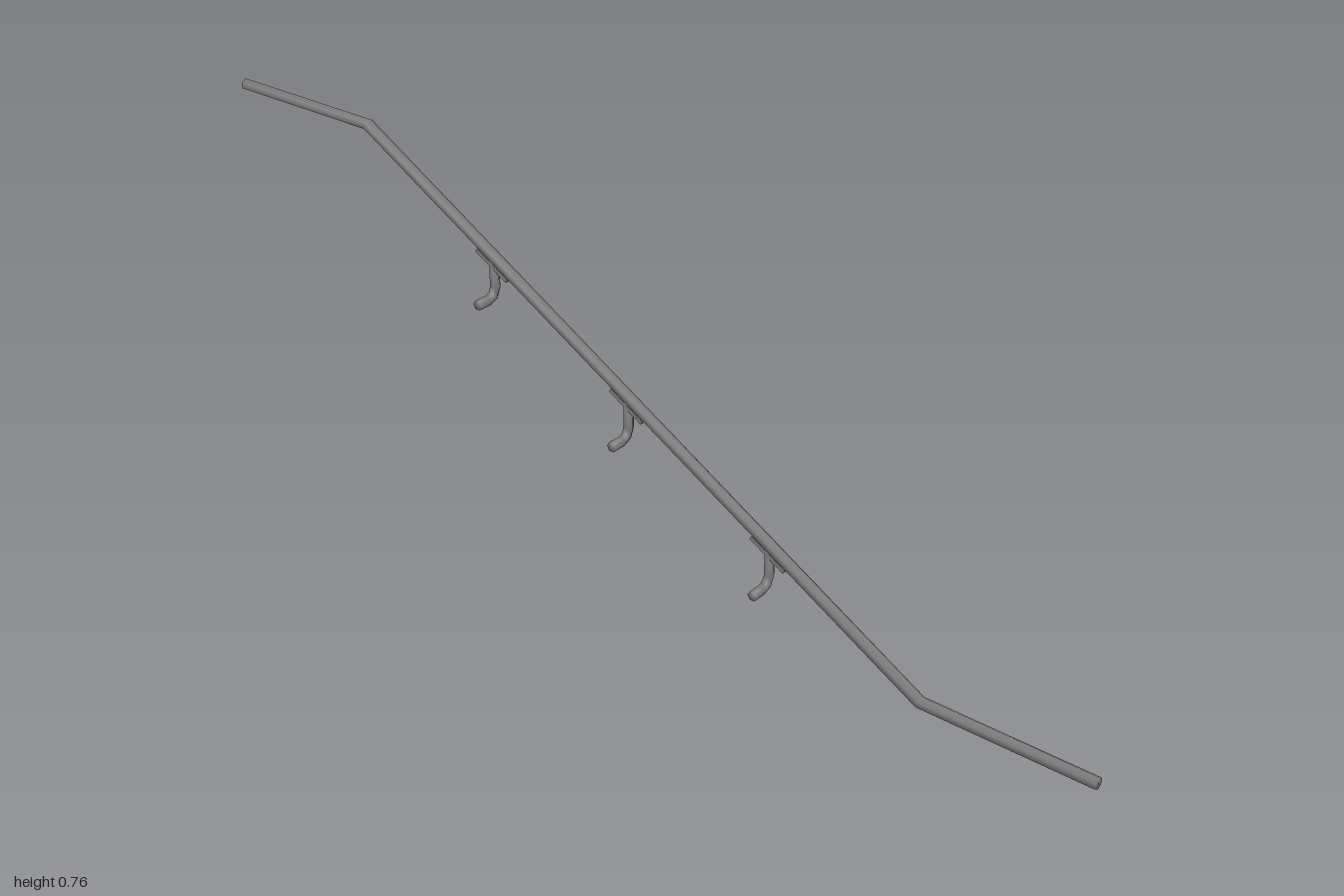
import * as THREE from 'three';

const material = new THREE.MeshStandardMaterial({ color: 0x7a7a7a });

// Sweep a smooth-shaded hexagon along a planar path with mitred joints.
// side is the plane's normal; turn rotates the hexagon about the path.
function hexBar(path, radius, side, turn) {
  const positions = [];
  const index = [];
  const last = path.length - 1;
  path.forEach((p, i) => {
    const before = p.clone().sub(path[Math.max(i - 1, 0)]).normalize();
    const after = path[Math.min(i + 1, last)].clone().sub(p).normalize();
    const tangent = before.clone().add(after).normalize();
    const stretch = 1 / Math.max(tangent.dot(before), tangent.dot(after));
    const normal = side.clone().cross(tangent);
    for (let k = 0; k < 6; k++) {
      const a = turn + (k * Math.PI) / 3;
      const v = p.clone()
        .addScaledVector(normal, Math.cos(a) * radius * stretch)
        .addScaledVector(side, Math.sin(a) * radius);
      positions.push(v.x, v.y, v.z);
    }
  });
  for (let i = 0; i < last; i++) {
    for (let k = 0; k < 6; k++) {
      const a = i * 6 + k;
      const b = i * 6 + ((k + 1) % 6);
      index.push(a, b, a + 6, b, b + 6, a + 6);
    }
  }
  // End caps
  for (let k = 1; k < 5; k++) {
    index.push(0, k + 1, k, last * 6, last * 6 + k, last * 6 + k + 1);
  }
  const geometry = new THREE.BufferGeometry();
  geometry.setAttribute('position', new THREE.Float32BufferAttribute(positions, 3));
  geometry.setIndex(index);
  geometry.computeVertexNormals();
  return geometry;
}

function addMesh(parent, name, geometry) {
  const mesh = new THREE.Mesh(geometry, material);
  mesh.name = name;
  parent.add(mesh);
  return mesh;
}

export function createModel() {
  const model = new THREE.Group();
  model.name = 'stairHandrail';

  const railX = 0.019;
  const bottom = new THREE.Vector3(railX, 0.012, 0.655);
  const top = new THREE.Vector3(railX, 0.747, -0.65);

  // Rail: level run, slope, level run
  const railPath = [
    new THREE.Vector3(railX, bottom.y, 1), bottom, top,
    new THREE.Vector3(railX, top.y, -1),
  ];
  addMesh(model, 'rail', hexBar(railPath, 0.012, new THREE.Vector3(1, 0, 0), 0));

  // Bracket arm: from the wall, through a tight bend, up to the rail
  const drop = 0.083;
  const bend = 0.021;
  const armPath = [new THREE.Vector3(-0.03 - railX, -drop, 0)];
  for (let i = 0; i <= 2; i++) {
    const a = (i / 2) * Math.PI / 2;
    armPath.push(new THREE.Vector3(-bend + bend * Math.sin(a), -drop + bend * (1 - Math.cos(a)), 0));
  }
  armPath.push(new THREE.Vector3(0, -0.008, 0));
  const armGeometry = hexBar(armPath, 0.0101, new THREE.Vector3(0, 0, 1), Math.PI / 6);

  // Saddle plate lying against the underside of the slope
  const saddleGeometry = new THREE.BoxGeometry(0.018, 0.008, 0.086);
  const slope = Math.atan2(top.y - bottom.y, bottom.z - top.z);
  const saddleDepth = 0.0135;

  for (const z of [0.327, 0, -0.327]) {
    const bracket = new THREE.Group();
    bracket.name = 'bracket';
    bracket.position.lerpVectors(bottom, top, (bottom.z - z) / (bottom.z - top.z));
    addMesh(bracket, 'bracketArm', armGeometry);
    const saddle = addMesh(bracket, 'saddlePlate', saddleGeometry);
    saddle.rotation.x = slope;
    saddle.position.y = -saddleDepth / Math.cos(slope);
    model.add(bracket);
  }
  return model;
}
